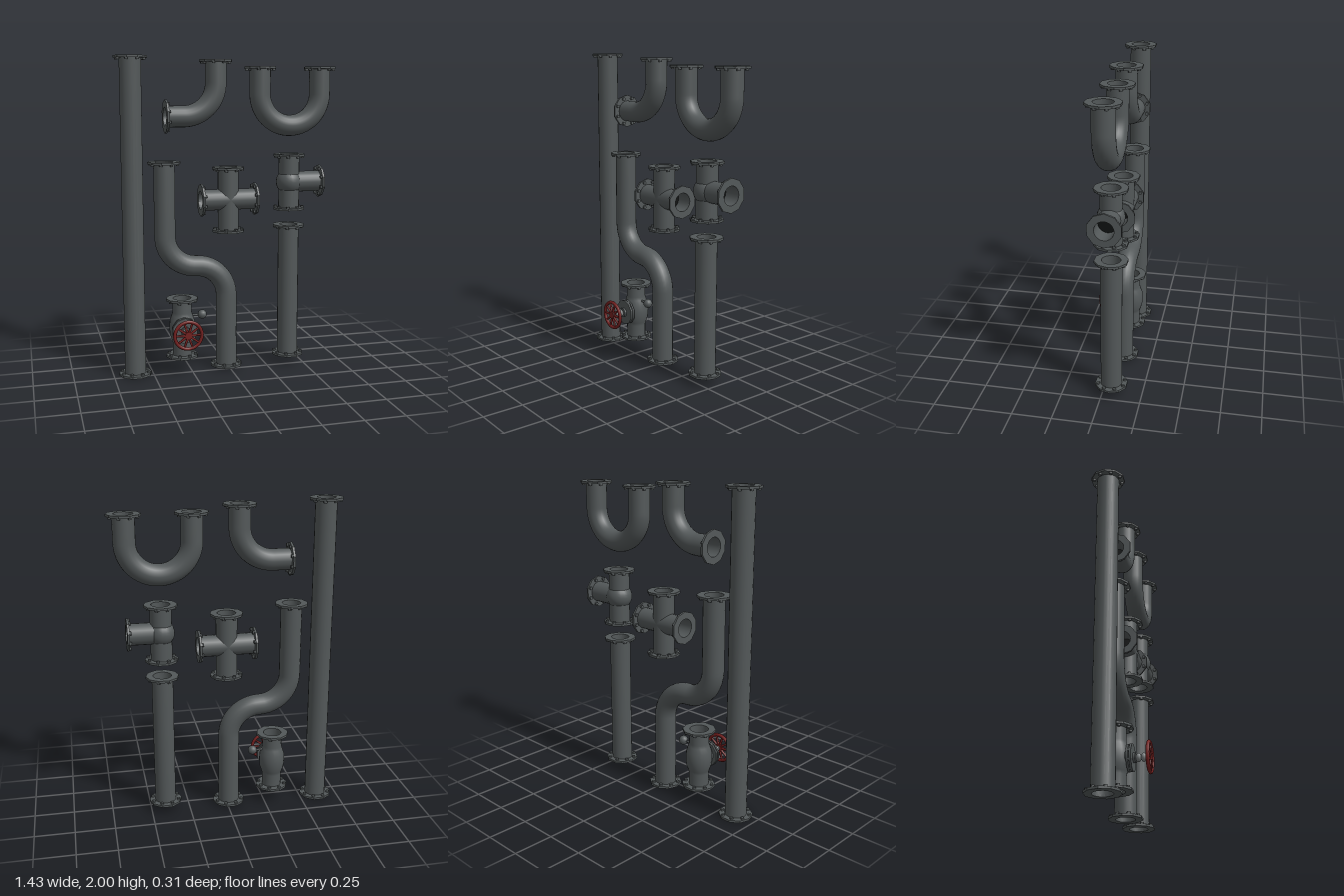
import * as THREE from 'three';

const R = 0.067, BORE = 0.058, Z = -0.054;

export function createModel() {
  const iron = new THREE.MeshStandardMaterial({ color: 0x535859, side: THREE.DoubleSide });
  iron.name = 'iron grey';
  const dark = new THREE.MeshStandardMaterial({ color: 0x101212, side: THREE.DoubleSide });
  dark.name = 'bore black';
  const steel = new THREE.MeshStandardMaterial({ color: 0x7b8081 });
  steel.name = 'stem steel';
  const red = new THREE.MeshStandardMaterial({ color: 0x74201f });
  red.name = 'wheel red';

  const root = new THREE.Group();
  root.name = 'pipeKit';

  const add = (parent, name, geo, mat, x = 0, y = 0, z = 0) => {
    const m = new THREE.Mesh(geo, mat);
    m.name = name;
    m.position.set(x, y, z);
    parent.add(m);
    return m;
  };
  const section = (name, x = 0, y = 0) => {
    const g = new THREE.Group();
    g.name = name;
    g.position.set(x, y, Z);
    root.add(g);
    return g;
  };

  // Ten-sided flange plate with a round hole; its outer face lies on y = 0
  const ring = (n, r) => Array.from({ length: n }, (_, i) =>
    new THREE.Vector2(r * Math.cos(i / n * 2 * Math.PI), r * Math.sin(i / n * 2 * Math.PI)));
  const plateShape = new THREE.Shape(ring(10, 0.104));
  plateShape.holes.push(new THREE.Path(ring(20, BORE)));
  const plateGeo = new THREE.ExtrudeGeometry(plateShape, { depth: 0.014, bevelEnabled: false });
  plateGeo.rotateX(Math.PI / 2);
  const boltGeo = new THREE.CylinderGeometry(0.011, 0.011, 0.011, 6);
  const boreGeo = new THREE.CylinderGeometry(BORE, BORE, 0.11, 20, 1, true);
  const capGeo = new THREE.CircleGeometry(BORE, 20).rotateX(-Math.PI / 2);

  // turn: rotation about z that takes +y to the outward direction
  function flange(parent, x, y, turn) {
    const g = new THREE.Group();
    g.name = 'flange';
    g.position.set(x, y, 0);
    g.rotation.z = turn;
    add(g, 'flangePlate', plateGeo, iron);
    add(g, 'boreWall', boreGeo, iron, 0, -0.056, 0);
    add(g, 'boreEnd', capGeo, dark, 0, -0.11, 0);
    for (let i = 0; i < 8; i++) {
      const a = (i + 0.5) * Math.PI / 4;
      add(g, 'bolt', boltGeo, iron, 0.086 * Math.cos(a), -0.0195, 0.086 * Math.sin(a));
    }
    parent.add(g);
  }
  const UP = 0, DOWN = Math.PI, LEFT = -Math.PI / 2, RIGHT = Math.PI / 2;

  // Open straight tube between two heights
  function upright(parent, name, y0, y1, r = R) {
    add(parent, name, new THREE.CylinderGeometry(r, r, y1 - y0, 20, 1, true), iron, 0, (y0 + y1) / 2, 0);
  }
  // Bent tube along a flat path
  function bent(parent, name, path) {
    const pts = path.getSpacedPoints(48).map(p => new THREE.Vector3(p.x, p.y, 0));
    add(parent, name, new THREE.TubeGeometry(new THREE.CatmullRomCurve3(pts), 56, R, 20), iron);
  }

  // Straight pipes
  for (const [name, x, y0, y1] of [['longPipe', -0.612, 0, 2], ['shortPipe', 0.406, 0.055, 0.93]]) {
    const g = section(name, x);
    upright(g, 'pipeWall', y0 + 0.005, y1 - 0.005);
    flange(g, 0, y1, UP);
    flange(g, 0, y0, DOWN);
  }

  // Quarter bend
  const elbow = section('elbow');
  bent(elbow, 'elbowWall', new THREE.Path().moveTo(-0.399, 1.632).lineTo(-0.286, 1.632)
    .absarc(-0.286, 1.838, 0.206, -Math.PI / 2, 0, false).lineTo(-0.08, 1.975));
  flange(elbow, -0.404, 1.632, RIGHT);
  flange(elbow, -0.08, 1.98, UP);

  // U bend
  const uBend = section('uBend');
  bent(uBend, 'uBendWall', new THREE.Path().moveTo(0.208, 1.935).lineTo(0.208, 1.769)
    .absarc(0.4075, 1.769, 0.1995, Math.PI, 2 * Math.PI, false).lineTo(0.607, 1.935));
  flange(uBend, 0.208, 1.94, UP);
  flange(uBend, 0.607, 1.94, UP);

  // S bend
  const sBend = section('sBend');
  bent(sBend, 'sBendWall', new THREE.Path().moveTo(-0.412, 1.349).lineTo(-0.412, 0.884)
    .absarc(-0.213, 0.884, 0.199, Math.PI, 1.5 * Math.PI, false)
    .absarc(-0.213, 0.486, 0.199, Math.PI / 2, 0, true).lineTo(-0.014, 0.018));
  flange(sBend, -0.412, 1.354, UP);
  flange(sBend, -0.014, 0.013, DOWN);

  // Four-way cross
  const cross = section('cross', 0, 1.105);
  upright(cross, 'crossUpright', -0.2, 0.2);
  add(cross, 'crossArm', new THREE.CylinderGeometry(R, R, 0.354, 20, 1, true), iron).rotation.z = Math.PI / 2;
  flange(cross, 0, 0.207, UP);
  flange(cross, 0, -0.207, DOWN);
  flange(cross, 0.182, 0, LEFT);
  flange(cross, -0.182, 0, RIGHT);

  // Tee with a swollen middle
  const tee = section('tee', 0.406, 1.208);
  upright(tee, 'teeUpright', -0.175, 0.175);
  add(tee, 'teeArm', new THREE.CylinderGeometry(R, R, 0.205, 20, 1, true), iron, 0.1025, 0, 0).rotation.z = Math.PI / 2;
  add(tee, 'teeBulge', new THREE.SphereGeometry(0.084, 20, 14), iron);
  flange(tee, 0, 0.18, UP);
  flange(tee, 0, -0.18, DOWN);
  flange(tee, 0.211, 0, LEFT);

  // Valve body
  const valve = section('valve', -0.306, 0.288);
  const body = [[0.062, -0.188], [0.062, -0.1], [0.068, -0.08], [0.08, -0.045], [0.083, 0],
    [0.08, 0.045], [0.068, 0.08], [0.062, 0.1], [0.062, 0.187]].map(p => new THREE.Vector2(...p));
  add(valve, 'valveBody', new THREE.LatheGeometry(body, 20), iron);
  flange(valve, 0, 0.192, UP);
  flange(valve, 0, -0.193, DOWN);

  // Bonnet and stem, pointing forward
  const disc = (name, r, z0, z1, mat, n = 20) => {
    add(valve, name, new THREE.CylinderGeometry(r, r, z1 - z0, n), mat, 0, 0, (z0 + z1) / 2 - Z).rotation.x = Math.PI / 2;
  };
  disc('bonnetNeck', 0.055, -0.05, 0.04, iron);
  disc('bonnetFlangeInner', 0.083, 0.018, 0.03, iron, 10);
  disc('bonnetFlangeOuter', 0.083, 0.036, 0.048, iron, 10);
  disc('packingGland', 0.03, 0.048, 0.062, iron, 12);
  disc('stem', 0.012, 0.05, 0.145, steel, 12);
  for (const z of [0.078, 0.108]) {
    add(valve, 'stemCollar', new THREE.SphereGeometry(0.026, 12, 8), steel, 0, 0, z - Z).scale.z = 0.65;
  }
  for (let i = 0; i < 8; i++) {
    const a = (i + 0.5) * Math.PI / 4;
    add(valve, 'bonnetBolt', boltGeo, iron, 0.069 * Math.cos(a), 0.069 * Math.sin(a), 0.033 - Z).rotation.x = Math.PI / 2;
  }

  // Hand wheel: rim, tapered spokes and hub
  const wheel = new THREE.Group();
  wheel.name = 'handWheel';
  wheel.position.z = 0.142 - Z;
  valve.add(wheel);
  add(wheel, 'rim', new THREE.TorusGeometry(0.086, 0.011, 8, 28), red);
  add(wheel, 'hub', new THREE.CylinderGeometry(0.024, 0.028, 0.02, 16), red).rotation.x = Math.PI / 2;
  const spokeGeo = new THREE.CylinderGeometry(0.0065, 0.0085, 0.062, 6).translate(0, 0.052, 0);
  for (let i = 0; i < 10; i++) {
    add(wheel, 'spoke', spokeGeo, red).rotation.z = (i + 0.5) * Math.PI / 5;
  }

  // Side knob on a short stalk
  add(valve, 'knobStalk', new THREE.CylinderGeometry(0.007, 0.007, 0.08, 8), iron, 0.085, 0.075, 0).rotation.z = Math.PI / 2;
  add(valve, 'knob', new THREE.SphereGeometry(0.03, 14, 10), iron, 0.132, 0.075, 0);

  return root;
}
